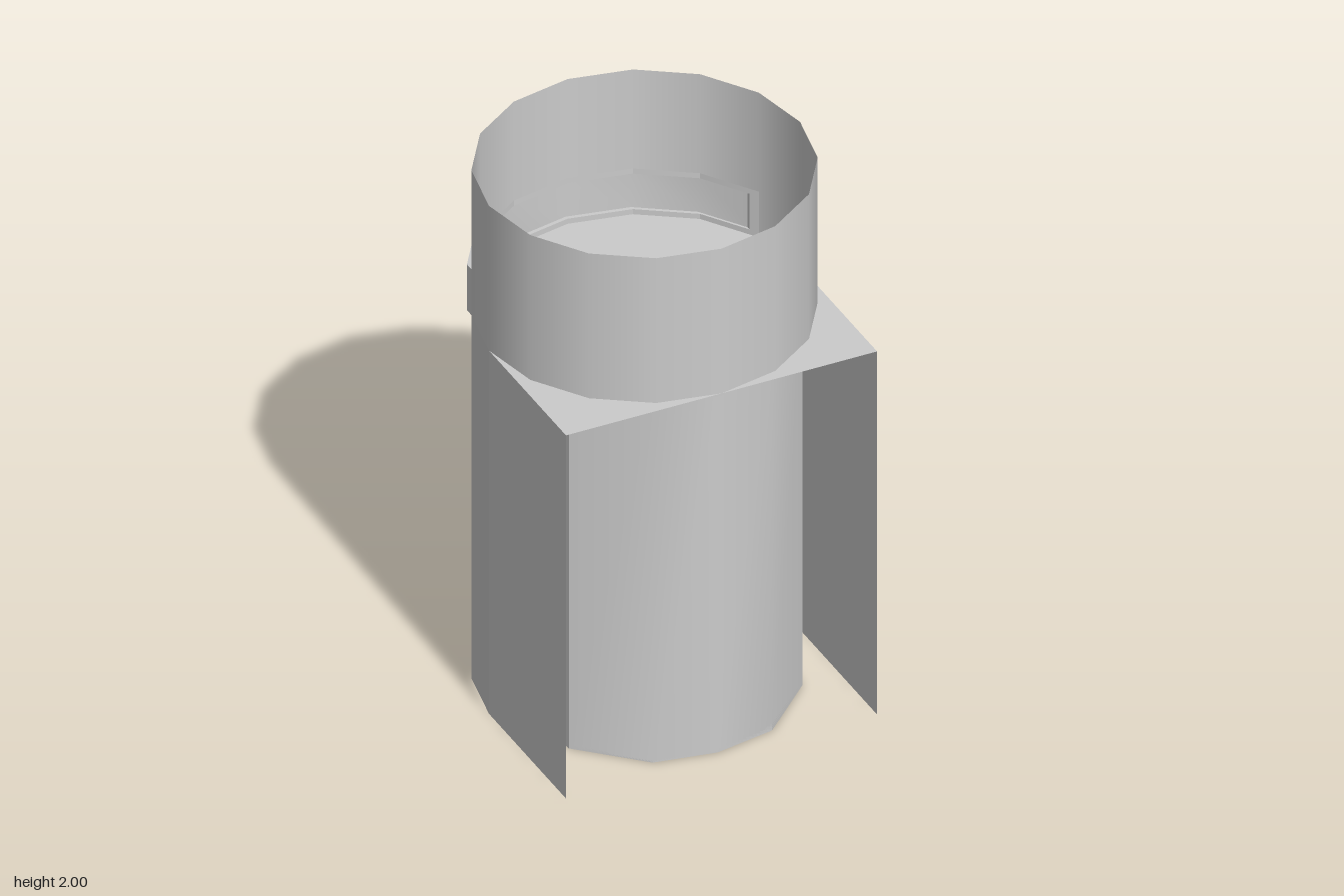
import * as THREE from 'three';

const R = 0.573, CZ = 0.015;          // radius and centre of the sixteen-sided plan
const DECK = 1.43, BAND_TOP = 1.61, TOP = 2;
const material = new THREE.MeshStandardMaterial({ color: 0xcccccc, side: THREE.DoubleSide });

// plan point on the sixteen-sided ring; step 0 is the front, 8 the back
const ringPoint = (step) => {
  const a = (step * Math.PI) / 8;
  return [R * Math.sin(a), CZ + R * Math.cos(a)];
};
const backRing = [5, 6, 7, 8, 9, 10, 11].map(ringPoint);
const shiftZ = (pts, dz) => pts.map(([x, z]) => [x, z + dz]);
const mirror = (pts) => pts.map(([x, z]) => [-x, z]).reverse();
const between = (a, b, t) => [a[0] + (b[0] - a[0]) * t, a[1] + (b[1] - a[1]) * t];

// solid slab from a plan outline of [x, z] points
function prism(outline, y0, y1) {
  const shape = new THREE.Shape(outline.map(([x, z]) => new THREE.Vector2(x, -z)));
  const g = new THREE.ExtrudeGeometry(shape, { depth: y1 - y0, bevelEnabled: false });
  return g.rotateX(-Math.PI / 2).translate(0, y0, 0);
}

// upright thin sheet following a plan path of [x, z] points
function sheet(path, y0, y1, smooth = false) {
  const pos = [], index = [];
  path.forEach(([x, z], i) => {
    pos.push(x, y0, z, x, y1, z);
    if (i > 0) {
      const k = 2 * i;
      index.push(k - 2, k, k + 1, k - 2, k + 1, k - 1);
    }
  });
  let g = new THREE.BufferGeometry();
  g.setAttribute('position', new THREE.Float32BufferAttribute(pos, 3));
  g.setIndex(index);
  if (!smooth) g = g.toNonIndexed();
  g.computeVertexNormals();
  return g;
}

export function createModel() {
  const model = new THREE.Group();
  const add = (name, geometry) => {
    const mesh = new THREE.Mesh(geometry, material);
    mesh.name = name;
    model.add(mesh);
  };

  // Floor and ceiling: curved front, straight tapering sides, round back
  const frontArc = [[-0.43, 0.32], [-0.22, 0.52], [0, 0.56], [0.22, 0.52], [0.43, 0.32]];
  const outline = [...frontArc, [0.47, -0.2], ...backRing, [-0.47, -0.2]];
  add('floor', prism(outline, 0, 0.04));
  add('ceiling', prism(outline, 1.4, DECK - 0.003));

  // Curved front of the compartment
  add('frontPanel', sheet(frontArc, 0, DECK, true));

  // Side walls, inner walls and the jambs of the back opening
  const outerWall = [[R, 0.588], [R, CZ], ringPoint(5)];
  const innerWall = [[0.43, 0.32], [0.47, -0.2]];
  const jamb = [ringPoint(5), [0.47, -0.2]];
  for (const [side, f] of [['left', (p) => p], ['right', mirror]]) {
    add(side + 'OuterWall', sheet(f(outerWall), 0, DECK));
    add(side + 'InnerWall', sheet(f(innerWall), 0, DECK));
    add(side + 'Jamb', sheet(f(jamb), 0, DECK));
  }

  // Flat deck with square front corners
  const deck = [[-R, 0.588], [R, 0.588], [R, CZ], ...backRing, [-R, CZ]];
  const deckShape = new THREE.Shape(deck.map(([x, z]) => new THREE.Vector2(x, -z)));
  add('deck', new THREE.ShapeGeometry(deckShape).rotateX(-Math.PI / 2).translate(0, DECK, 0));

  // Open drum on top, left open behind the back band
  const upper = TOP - BAND_TOP, lower = BAND_TOP - DECK;
  add('drumUpper', new THREE.CylinderGeometry(R, R, upper, 16, 1, true)
    .translate(0, BAND_TOP + upper / 2, CZ));
  add('drumLower', new THREE.CylinderGeometry(R, R, lower, 10, 1, true, -Math.PI * 5 / 8, Math.PI * 5 / 4)
    .translate(0, DECK + lower / 2, CZ));

  // Framed band standing out from the back of the drum
  const out = -0.033;
  const rail = [...backRing, ...shiftZ(backRing, out).reverse()];
  add('bandTopRail', prism(rail, BAND_TOP - 0.02, BAND_TOP));
  add('bandBottomRail', prism(rail, DECK, DECK + 0.02));
  const end = backRing[0], inner = between(end, backRing[1], 0.16);
  const post = [end, inner, ...shiftZ([inner, end], out)];
  add('bandLeftPost', prism(post, DECK + 0.02, BAND_TOP - 0.02));
  add('bandRightPost', prism(mirror(post), DECK + 0.02, BAND_TOP - 0.02));
  add('bandPanel', sheet(shiftZ(backRing, -0.014), DECK + 0.02, BAND_TOP - 0.02, true));

  return model;
}
